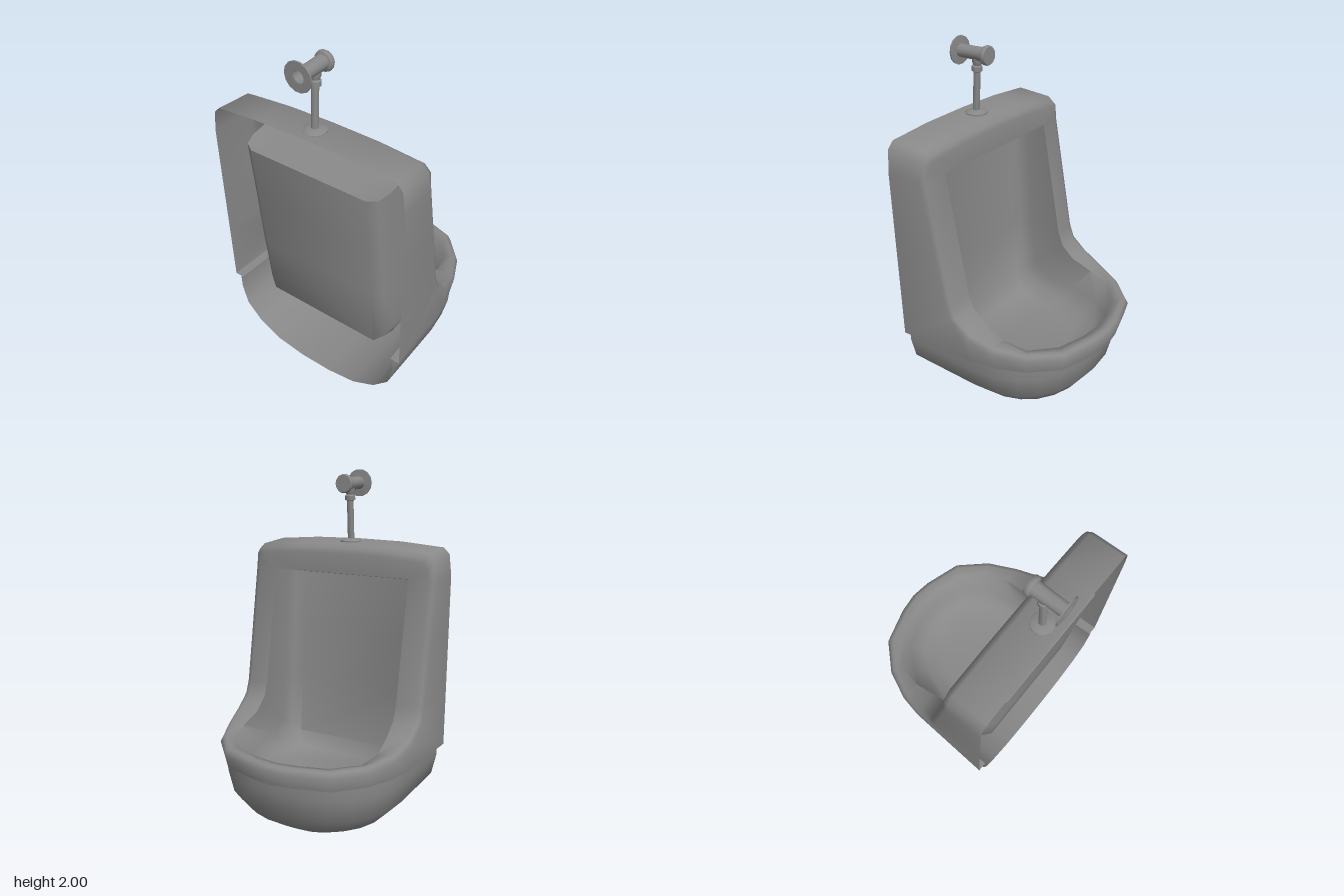
import * as THREE from 'three';
import { toCreasedNormals } from 'three/addons/utils/BufferGeometryUtils.js';

const material = new THREE.MeshStandardMaterial({ color: 0x888888, side: THREE.DoubleSide });

// Skin a surface over rows of points, each row mirrored from +z to -z.
function mirroredLoft(halfRows, crease) {
  const rows = halfRows.map(r => [...r, ...r.slice().reverse().map(([x, y, z]) => [x, y, -z])]);
  const out = [];
  const tri = (...pts) => {
    const [a, b, c] = pts.map(p => new THREE.Vector3(...p));
    const area = b.clone().sub(a).cross(c.clone().sub(a)).length();
    if (area > 1e-7) pts.forEach(p => out.push(...p));
  };
  for (let k = 0; k < rows.length - 1; k++) {
    for (let j = 0; j < rows[k].length - 1; j++) {
      const a = rows[k][j], b = rows[k][j + 1], c = rows[k + 1][j], d = rows[k + 1][j + 1];
      tri(a, c, b);
      tri(b, c, d);
    }
  }
  const g = new THREE.BufferGeometry();
  g.setAttribute('position', new THREE.Float32BufferAttribute(out, 3));
  return toCreasedNormals(g, crease);
}

function named(name, geometry) {
  const mesh = new THREE.Mesh(geometry, material);
  mesh.name = name;
  return mesh;
}

// Turned part with a [radius, height] profile.
function turned(name, profile, sides = 14) {
  const g = new THREE.LatheGeometry(profile.map(p => new THREE.Vector2(...p)), sides);
  return named(name, toCreasedNormals(g, 0.7));
}

// Sections run: ledge, wall foot, wall edge, rounding, face outer, face inner,
// recess side, recess corner, recess back.
function topSection(z, y, zIn, drop = 0) {
  return [
    [-0.51, y, z], [-0.51, y, z], [-0.3, y - 0.014, z], [-0.27, y - 0.035, z * 0.99],
    [-0.26, y - 0.065 - drop, z * 0.95], [-0.26, 1.42, zIn],
    [-0.39, 1.4, zIn], [-0.46, 1.386, zIn * 0.95], [-0.49, 1.38, zIn * 0.83],
  ];
}

// The back of the recess leans forward towards the bowl
function sideSection(f, y) {
  const back = -0.42 - 0.068 * (y - 0.35);
  return [
    [-0.51, y, 0.585], [-0.51, y, 0.585], [f - 0.035, y, 0.585], [f - 0.01, y, 0.572],
    [f, y, 0.545], [f, y, 0.43], [back + 0.1, Math.min(y, 1.4), 0.43],
    [back + 0.03, Math.min(y, 1.386), 0.41], [back, Math.min(y, 1.38), 0.357],
  ];
}

// Shoulder where the upright sides sweep into the bowl rim
function shoulderSection(ledgeZ) {
  return [
    [-0.51, 0.405, ledgeZ], [-0.51, 0.405, 0.585], ...sideSection(-0.11, 0.65).slice(2, 6),
    [-0.32, 0.44, 0.43], [-0.39, 0.39, 0.405], [-0.42, 0.35, 0.355],
  ];
}

function bowlSection([ox, oz, h, ix, iz, wx, wz, cx, cz, fx, fz]) {
  const n = new THREE.Vector2(Math.max(ox + 0.05, 0), oz).normalize();
  const inset = (d, y) => [ox - n.x * d, y, oz - n.y * d];
  return [
    inset(0.07, 0.405), inset(0.018, 0.405), inset(0, h - 0.035), inset(0.015, h - 0.006),
    inset(0.035, h), [ix, h - 0.01, iz], [wx, 0.38, wz], [cx, 0.305, cz], [fx, 0.27, fz],
  ];
}

function shellGeometry() {
  // Per station: rim outside x z, rim height, then x z of rim inside, wall, lower wall, floor
  const bowl = [
    [-0.03, 0.58, 0.59, -0.03, 0.43, -0.2, 0.42, -0.27, 0.38, -0.36, 0.32],
    [0.11, 0.55, 0.54, 0.1, 0.44, -0.02, 0.41, -0.06, 0.36, -0.12, 0.28],
    [0.28, 0.475, 0.518, 0.24, 0.41, 0.2, 0.36, 0.15, 0.29, 0.05, 0.22],
    [0.43, 0.335, 0.515, 0.36, 0.28, 0.33, 0.25, 0.27, 0.2, 0.17, 0.14],
    [0.495, 0.12, 0.515, 0.41, 0.12, 0.38, 0.11, 0.31, 0.09, 0.2, 0.06],
    [0.51, 0, 0.515, 0.425, 0, 0.39, 0, 0.32, 0, 0.21, 0],
  ];
  return mirroredLoft([
    topSection(0, 1.6, 0), topSection(0.28, 1.595, 0.28), topSection(0.535, 1.575, 0.43),
    topSection(0.57, 1.54, 0.43, 0.01), sideSection(-0.26, 1.42), sideSection(-0.2, 1.075),
    sideSection(-0.14, 0.73), shoulderSection(0.585), shoulderSection(0.53), ...bowl.map(bowlSection),
  ], 1.15);
}

// Rounded underside, open at the wall; each level is [height, half width, front x]
function basinGeometry() {
  const levels = [
    [0.405, 0.545, 0.44], [0.33, 0.545, 0.44], [0.2, 0.515, 0.413], [0.1, 0.42, 0.34],
    [0.028, 0.28, 0.225], [0, 0.1, 0.09], [0, 0, 0.03],
  ];
  return mirroredLoft(levels.map(([y, w, f]) => {
    const row = [[-0.51, y, w]];
    for (let i = 0; i <= 6; i++) {
      const t = (i / 6) * Math.PI / 2;
      const across = i < 6 ? Math.cos(t) ** 0.88 : 0;
      row.push([-0.05 + (f + 0.05) * Math.sin(t) ** 0.88, y, w * across]);
    }
    return row;
  }), 0.8);
}

function createFlushValve() {
  const valve = new THREE.Group();
  valve.name = 'flushValve';

  const collar = turned('pipeFlange', [[0.062, 0], [0.062, 0.008], [0.04, 0.018], [0.018, 0.02]]);
  collar.position.set(-0.407, 1.59, 0);

  // Slightly leaning supply pipe with its coupling nut and tee
  const pipe = turned('supplyPipe', [
    [0.019, -0.01], [0.019, 0.225], [0.029, 0.23], [0.029, 0.255], [0.022, 0.262], [0.028, 0.28], [0.028, 0.315],
  ]);
  pipe.position.set(-0.408, 1.6, 0);
  pipe.rotation.z = -0.075;

  // Horizontal body from the open wall flange to the end cap
  const body = turned('valveBody', [
    [0.036, 0], [0.078, 0], [0.078, 0.008], [0.036, 0.012], [0.036, 0.1], [0.039, 0.175], [0.05, 0.18],
    [0.053, 0.187], [0.053, 0.2], [0.048, 0.208], [0, 0.208],
  ]);
  body.position.set(-0.51, 1.922, 0);
  body.rotation.z = -Math.PI / 2;

  valve.add(collar, pipe, body);
  return valve;
}

export function createModel() {
  const model = new THREE.Group();
  model.name = 'urinal';
  model.add(named('shell', shellGeometry()), named('basin', basinGeometry()), createFlushValve());
  return model;
}
